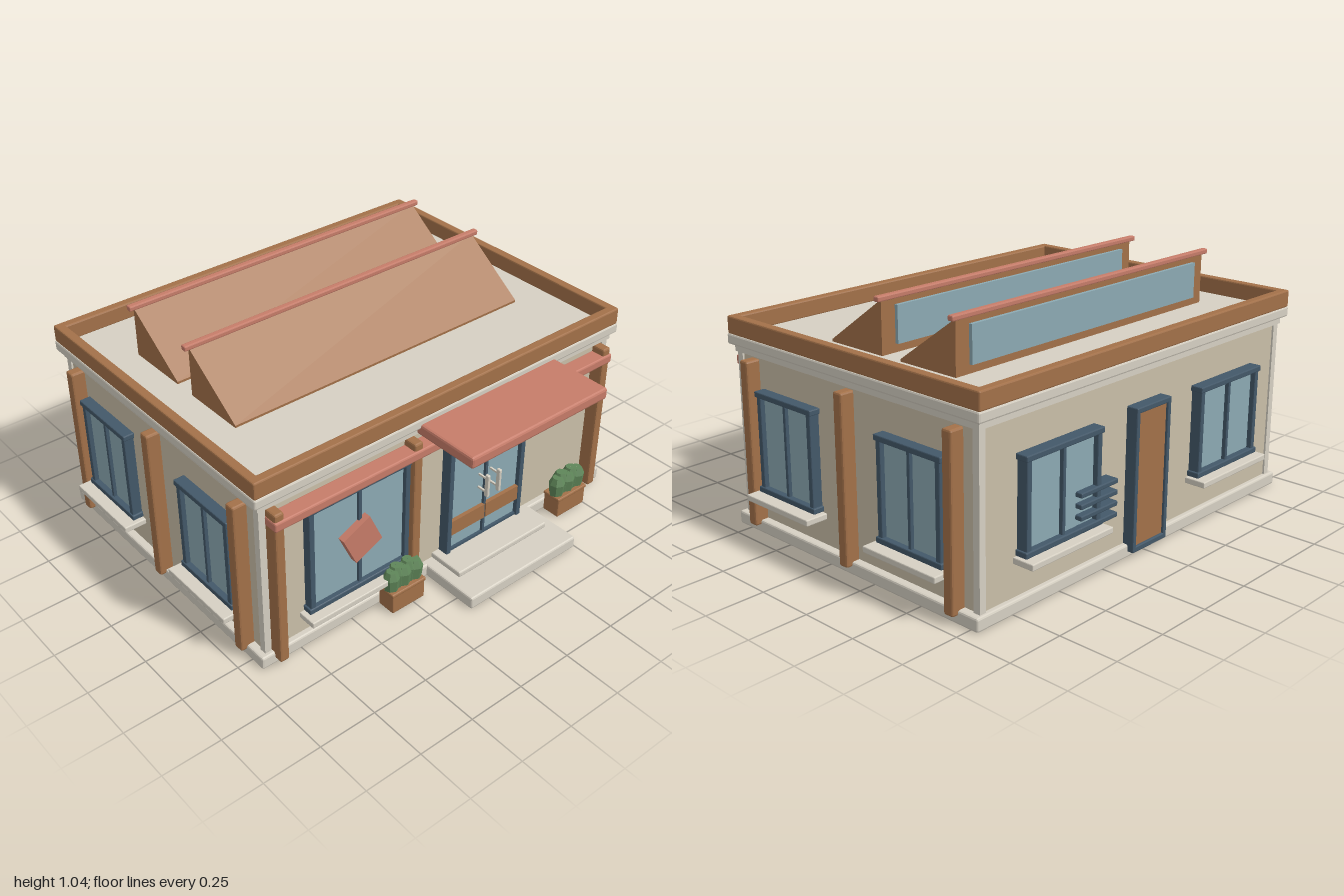
import * as THREE from 'three';
import { RoundedBoxGeometry } from 'three/addons/geometries/RoundedBoxGeometry.js';

const mat = (color) => new THREE.MeshStandardMaterial({ color, flatShading: true });
const M = {
  wall: mat(0xcabfa8), trim: mat(0xd6d0c3), wood: mat(0xa37149), glass: mat(0x8caab3),
  frame: mat(0x435869), red: mat(0xc67c69), leaf: mat(0x5f8659),
};

// Box given by its min and max corners; bevel > 0 softens the edges
function box(parent, name, m, [x0, x1], [y0, y1], [z0, z1], bevel = 0) {
  const w = x1 - x0, h = y1 - y0, d = z1 - z0;
  const geo = bevel ? new RoundedBoxGeometry(w, h, d, 1, bevel) : new THREE.BoxGeometry(w, h, d);
  const mesh = new THREE.Mesh(geo, m);
  mesh.name = name;
  mesh.position.set((x0 + x1) / 2, (y0 + y1) / 2, (z0 + z1) / 2);
  parent.add(mesh);
  return mesh;
}

function group(parent, name, x = 0, y = 0, z = 0, turn = 0) {
  const g = new THREE.Group();
  g.name = name;
  g.position.set(x, y, z);
  g.rotation.y = turn;
  parent.add(g);
  return g;
}

// Two-pane window facing +z with its back on z = 0 and its frame bottom on y = 0
function addWindow(g, w, h, depth, sillW, sillDepth) {
  const a = w / 2, t = 0.024;
  box(g, 'windowGlass', M.glass, [-a + 0.01, a - 0.01], [0.01, h - 0.01], [-0.01, depth * 0.5]);
  for (const x of [-a + t / 2, a - t / 2])
    box(g, 'windowStile', M.frame, [x - t / 2, x + t / 2], [0, h], [0, depth - 0.005], 0.004);
  box(g, 'windowMullion', M.frame, [-0.008, 0.008], [0, h], [0, depth - 0.01], 0.003);
  for (const y of [0, h - t])
    box(g, 'windowRail', M.frame, [-a - 0.008, a + 0.008], [y, y + t], [0, depth], 0.004);
  box(g, 'windowSill', M.trim, [-sillW / 2, sillW / 2], [-0.028, -0.002], [0, sillDepth], 0.004);
}

// Sawtooth roof light: sloped wedge, glazed upright back and ridge bar
function addRoofLight(parent, z) {
  const g = group(parent, 'roofLight', 0, 0, z);
  const s = new THREE.Shape([
    new THREE.Vector2(-0.18, 0.81), new THREE.Vector2(0.105, 0.81),
    new THREE.Vector2(0.105, 1.03), new THREE.Vector2(-0.18, 0.825),
  ]);
  const geo = new THREE.ExtrudeGeometry(s, { depth: 1.465, bevelEnabled: false });
  geo.rotateY(Math.PI / 2).translate(-0.7325, 0, 0);
  const wedge = new THREE.Mesh(geo, M.wood);
  wedge.name = 'roofLightWedge';
  g.add(wedge);
  box(g, 'roofLightGlass', M.glass, [-0.665, 0.665], [0.85, 1.0], [-0.12, -0.1]);
  box(g, 'ridgeBar', M.red, [-0.757, 0.757], [1.024, 1.046], [-0.117, -0.09], 0.005);
}

// Wooden pot with a clump of faceted shrubs
function addPlanter(parent, x) {
  const g = group(parent, 'planter', x, 0, 0.613);
  box(g, 'pot', M.wood, [-0.084, 0.084], [0.005, 0.1], [-0.042, 0.042], 0.006);
  box(g, 'potRim', M.wood, [-0.088, 0.088], [0.088, 0.104], [-0.045, 0.045], 0.005);
  for (let i = 0; i < 5; i++) {
    const px = -0.06 + i * 0.03, h = 0.09 + (i % 2) * 0.01;
    const pts = [[0.001, 0], [0.03, 0], [0.036, h * 0.65], [0.022, h], [0.001, h]];
    const geo = new THREE.LatheGeometry(pts.map((p) => new THREE.Vector2(...p)), 7);
    const shrub = new THREE.Mesh(geo, M.leaf);
    shrub.name = 'shrub';
    shrub.position.set(px, 0.1, i % 2 ? -0.006 : 0.003);
    shrub.rotation.y = i * 0.9;
    g.add(shrub);
  }
}

export function createModel() {
  const root = new THREE.Group();
  root.name = 'shopBuilding';

  // Shell: plinth, walls, pale corners, frieze and cornice
  box(root, 'plinth', M.trim, [-0.935, 0.935], [0.005, 0.06], [-0.788, 0.572], 0.008);
  box(root, 'walls', M.wall, [-0.9, 0.9], [0.04, 0.78], [-0.765, 0.545]);
  for (const x of [-0.893, 0.893])
    for (const z of [-0.758, 0.538])
      box(root, 'cornerTrim', M.trim, [x - 0.015, x + 0.015], [0.05, 0.76], [z - 0.015, z + 0.015]);
  box(root, 'frieze', M.trim, [-0.915, 0.915], [0.74, 0.775], [-0.78, 0.56]);
  box(root, 'corniceAndRoof', M.trim, [-0.938, 0.938], [0.77, 0.815], [-0.803, 0.578], 0.008);

  // Parapet around the flat roof
  for (const z of [-0.782, 0.555])
    box(root, 'parapetLong', M.wood, [-0.935, 0.935], [0.812, 0.885], [z - 0.02, z + 0.02], 0.006);
  for (const x of [-0.915, 0.915])
    box(root, 'parapetSide', M.wood, [x - 0.02, x + 0.02], [0.812, 0.885], [-0.795, 0.57], 0.006);

  for (const z of [0, -0.385]) addRoofLight(root, z);

  // Posts and windows on both sides
  for (const s of [-1, 1]) {
    for (const z of [0.45, -0.11, -0.67])
      box(root, 'sidePost', M.wood, [s * 0.928 - 0.033, s * 0.928 + 0.033], [0.04, 0.73], [z - 0.023, z + 0.023], 0.008);
    for (const z of [0.235, -0.458])
      addWindow(group(root, 'sideWindow', s * 0.9, 0.195, z, s * Math.PI / 2), 0.325, 0.42, 0.05, 0.375, 0.1);
  }

  // Front posts, beam and canopy
  for (const x of [-0.855, -0.2, 0.85])
    box(root, 'frontPost', M.wood, [x - 0.021, x + 0.021], [0.03, 0.735], [0.54, 0.607], 0.008);
  box(root, 'frontBeam', M.red, [-0.88, 0.875], [0.665, 0.705], [0.54, 0.615], 0.007);
  box(root, 'canopy', M.red, [-0.17, 0.56], [0.74, 0.79], [0.53, 0.857], 0.01);

  // Shop window with a tilted panel on it
  addWindow(group(root, 'shopWindow', -0.465, 0.165, 0.545), 0.49, 0.495, 0.045, 0.545, 0.085);
  const panel = box(root, 'tiltedPanel', M.red, [-0.54, -0.4], [0.337, 0.485], [0.57, 0.602]);
  panel.rotation.z = 0.43;

  // Front entrance: frame, glass leaves, kick panels and handles
  const door = group(root, 'frontDoor', 0.195, 0, 0.545);
  box(door, 'doorGlass', M.glass, [-0.205, 0.205], [0.085, 0.7], [-0.01, 0.03]);
  for (const x of [-0.201, 0.201])
    box(door, 'doorJamb', M.frame, [x - 0.012, x + 0.012], [0.07, 0.71], [0, 0.05], 0.004);
  box(door, 'doorHead', M.frame, [-0.213, 0.213], [0.69, 0.712], [0, 0.05], 0.004);
  box(door, 'doorMeeting', M.frame, [-0.006, 0.006], [0.085, 0.7], [0, 0.042]);
  box(door, 'doorBottomRail', M.frame, [-0.2, 0.2], [0.08, 0.095], [0, 0.042]);
  for (const s of [-1, 1]) {
    box(door, 'kickPanel', M.wood, [s * 0.099 - 0.095, s * 0.099 + 0.095], [0.17, 0.24], [0, 0.047]);
    box(door, 'doorHandle', M.trim, [s * 0.032 - 0.007, s * 0.032 + 0.007], [0.315, 0.422], [0.07, 0.09], 0.004);
    for (const y of [0.335, 0.4])
      box(door, 'handleMount', M.trim, [s * 0.032 - 0.004, s * 0.032 + 0.004], [y - 0.004, y + 0.004], [0.025, 0.075]);
  }
  box(root, 'entranceStep', M.trim, [-0.105, 0.495], [0.005, 0.06], [0.54, 0.835], 0.008);
  box(root, 'threshold', M.trim, [-0.055, 0.447], [0.058, 0.084], [0.54, 0.71], 0.006);

  for (const x of [-0.277, 0.668]) addPlanter(root, x);

  // Back: two windows, service door and a slatted rack
  for (const x of [-0.512, 0.512])
    addWindow(group(root, 'backWindow', x, 0.22, -0.765, Math.PI), 0.405, 0.385, 0.055, 0.445, 0.095);
  box(root, 'backDoorLeaf', M.wood, [-0.09, 0.09], [0.045, 0.6], [-0.805, -0.755]);
  for (const x of [-0.096, 0.096])
    box(root, 'backDoorJamb', M.frame, [x - 0.01, x + 0.01], [0.03, 0.62], [-0.815, -0.755], 0.004);
  for (const y of [0.03, 0.597])
    box(root, 'backDoorRail', M.frame, [-0.106, 0.106], [y, y + 0.023], [-0.815, -0.755], 0.004);
  for (let i = 0; i < 4; i++) {
    const y = 0.235 + i * 0.045;
    box(root, 'rackSlat', M.frame, [0.22, 0.43], [y - 0.01, y + 0.01], [-0.822, -0.76], 0.004);
  }
  return root;
}
